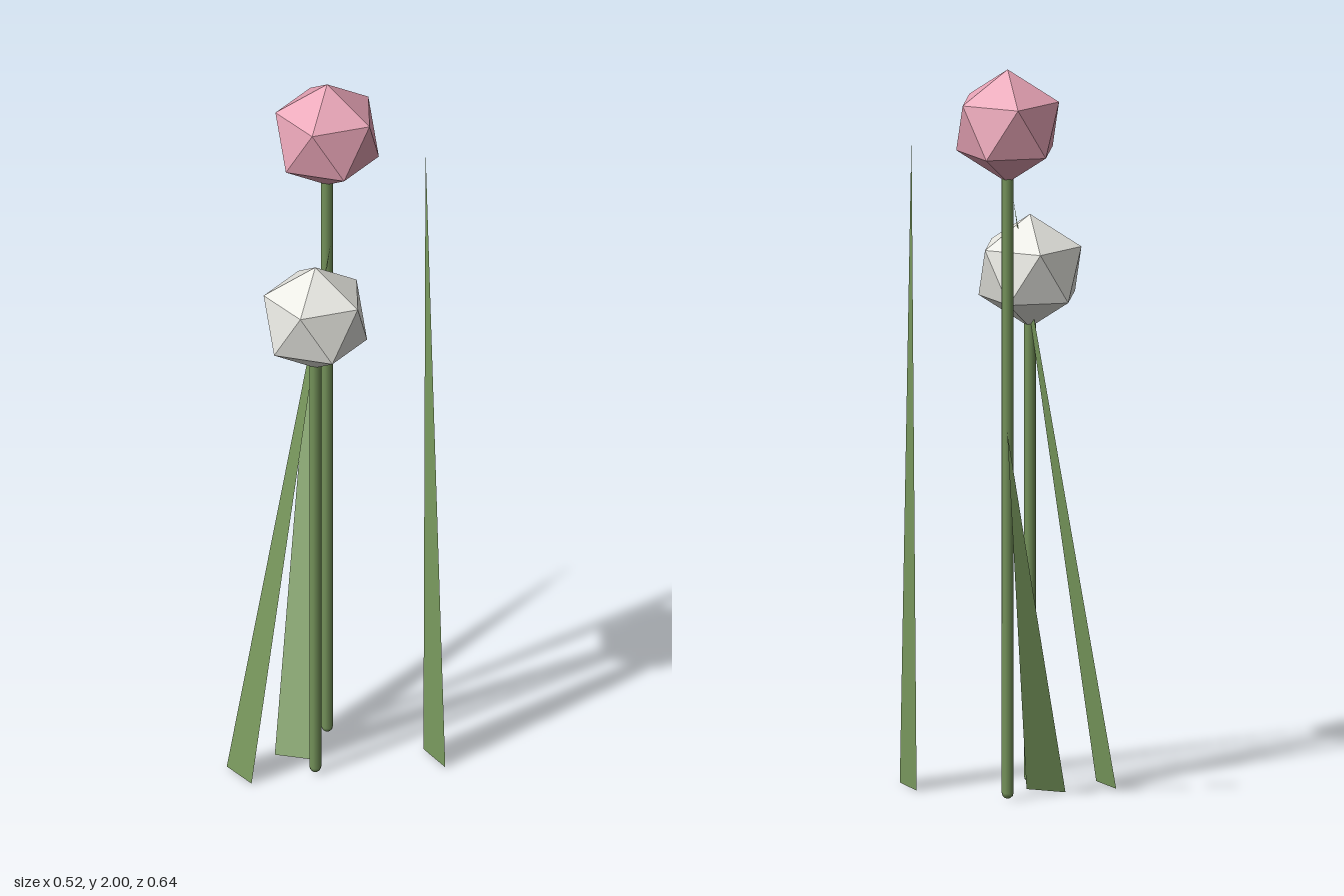
import * as THREE from 'three';

const pink = new THREE.MeshStandardMaterial({ name: 'petalPink', color: 0xe8a4b6 });
const white = new THREE.MeshStandardMaterial({ name: 'petalWhite', color: 0xe6e6e0 });
const stemGreen = new THREE.MeshStandardMaterial({ name: 'stemGreen', color: 0x74925a });
const leafGreen = new THREE.MeshStandardMaterial({ name: 'leafGreen', color: 0x7a9a5e, side: THREE.DoubleSide });

const HEAD_RADIUS = 0.155;
const STEM_RADIUS = 0.016;

// Flower: a faceted head, one corner straight up, on a round-ended stem
function makeFlower(name, x, z, headY, headMaterial) {
  const flower = new THREE.Group();
  flower.name = name;
  flower.position.set(x, 0, z);

  const headGeometry = new THREE.IcosahedronGeometry(HEAD_RADIUS, 0);
  headGeometry.rotateZ(-Math.atan(2 / (1 + Math.sqrt(5))));
  const head = new THREE.Mesh(headGeometry, headMaterial);
  head.name = 'flowerHead';
  head.position.y = headY;

  const bottom = 0.004;
  const length = headY - bottom;
  const stem = new THREE.Mesh(
    new THREE.CapsuleGeometry(STEM_RADIUS, length - 2 * STEM_RADIUS, 3, 10), stemGreen);
  stem.name = 'stem';
  stem.position.y = bottom + length / 2;

  flower.add(head, stem);
  return flower;
}

// Leaf blade: a flat triangle from two base corners to the tip
function makeLeaf(name, baseA, baseB, tip) {
  const geometry = new THREE.BufferGeometry();
  geometry.setAttribute('position', new THREE.Float32BufferAttribute([...baseA, ...baseB, ...tip], 3));
  geometry.computeVertexNormals();
  const leaf = new THREE.Mesh(geometry, leafGreen);
  leaf.name = name;
  return leaf;
}

export function createModel() {
  const model = new THREE.Group();
  model.name = 'flowers';
  model.add(
    makeFlower('tallFlower', 0.067, -0.02, 1.845, pink),
    makeFlower('shortFlower', -0.09, 0.135, 1.405, white),
    makeLeaf('leftLeaf', [0.205, 0, 0.322], [0.218, 0, 0.208], [0.26, 1.81, 0.162]),
    makeLeaf('rightLeaf', [-0.262, 0, 0.079], [-0.259, 0, -0.035], [-0.035, 1.61, 0.13]),
    makeLeaf('backLeaf', [-0.118, 0, -0.008], [-0.048, 0, 0.08], [0.24, 1.08, -0.322])
  );
  return model;
}
